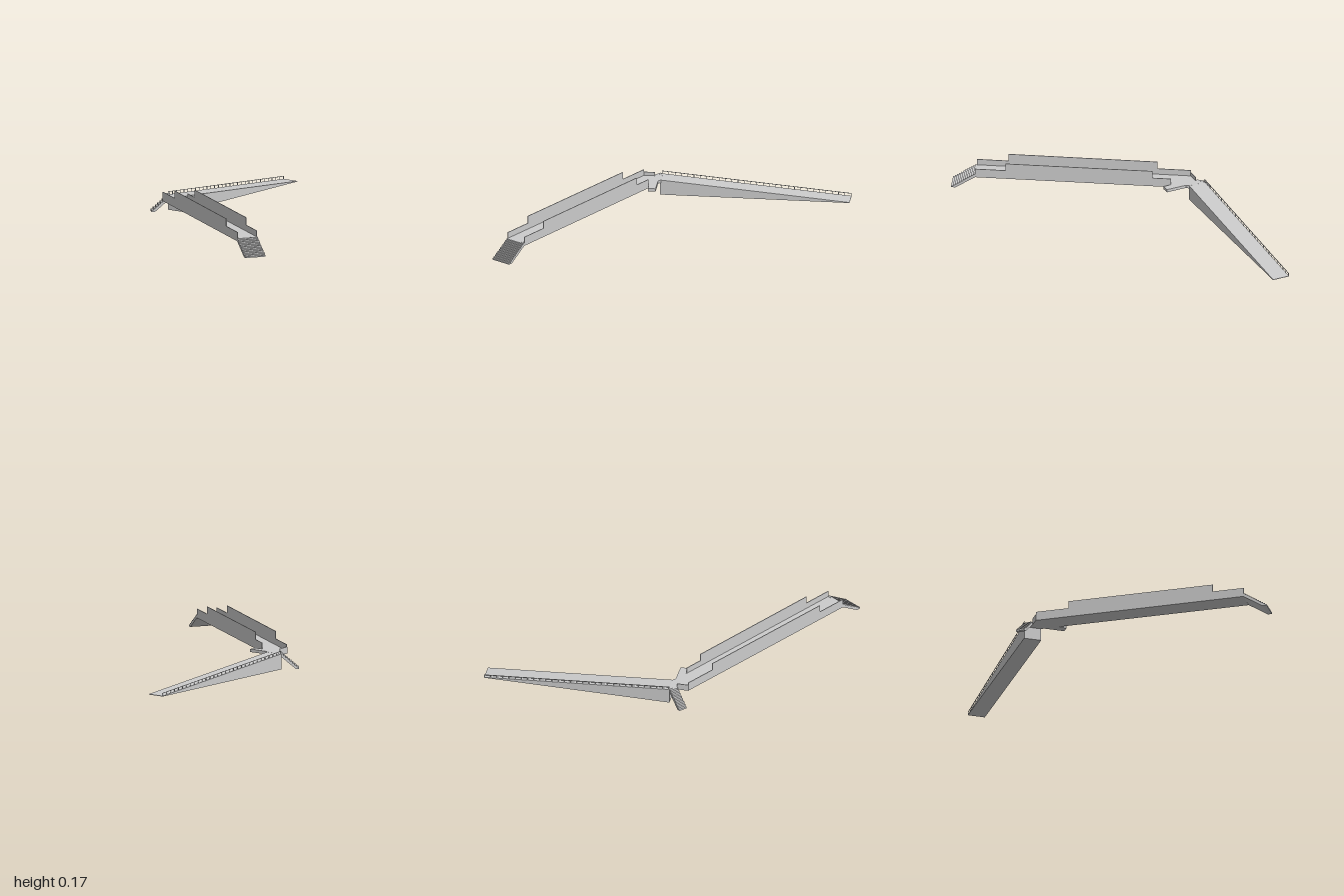
import * as THREE from 'three';

const DECK_Y = 0.075, DECK_TOP = 0.093;
const material = new THREE.MeshStandardMaterial({ color: 0xcccccc, flatShading: true });

function shapeOf(points) {
  return new THREE.Shape(points.map(([x, y]) => new THREE.Vector2(x, y)));
}

// Extrudes a side profile (along, up) by a width centred on the profile plane
function profileMesh(name, points, width) {
  const geo = new THREE.ExtrudeGeometry(shapeOf(points), { depth: width, bevelEnabled: false });
  geo.translate(0, 0, -width / 2);
  const mesh = new THREE.Mesh(geo, material);
  mesh.name = name;
  return mesh;
}

// Places an object at (x, z) so that its local x axis runs along (dx, dz)
function aim(object, x, z, dx, dz) {
  object.position.set(x, 0, z);
  object.rotation.y = Math.atan2(-dz, dx);
  return object;
}

function box(name, w, h, d, x, y, z) {
  const mesh = new THREE.Mesh(new THREE.BoxGeometry(w, h, d), material);
  mesh.name = name;
  mesh.position.set(x, y, z);
  return mesh;
}

// Thin stair flight descending along +x, with sawtooth steps on a sloping slab
function stairs(name, run, width, steps) {
  const pts = [[0, DECK_Y], [0, DECK_TOP]];
  for (let i = 0; i < steps; i++) {
    const y = DECK_TOP * (1 - i / steps);
    pts.push([run * (i + 1) / steps, y]);
    pts.push([run * (i + 1) / steps, DECK_TOP * (1 - (i + 1) / steps)]);
  }
  pts.push([run * 0.82, 0]);
  return profileMesh(name, pts, width);
}

// Parapet with a raised middle section between h0 and h1
function parapet(name, length, h0, h1) {
  return profileMesh(name, [
    [0, DECK_Y], [length, DECK_Y], [length, 0.13], [h1, 0.13],
    [h1, 0.175], [h0, 0.175], [h0, 0.13], [0, 0.13],
  ], 0.004);
}

export function createModel() {
  const model = new THREE.Group();
  model.name = 'footbridge';

  // Deck: bridge span, landing and side arm in one slab
  const outline = [
    [-0.615, 0.125], [-0.51, 0.125], [-0.495, 0.14], [-0.37, 0.14], [-0.37, 0.185],
    [-0.425, 0.187], [0.565, 0.812], [0.5, 0.92], [-0.575, 0.235], [-0.575, 0.168],
  ];
  const deckGeo = new THREE.ExtrudeGeometry(
    shapeOf(outline.map(([x, z]) => [x, -z])),
    { depth: DECK_TOP - DECK_Y, bevelEnabled: false });
  deckGeo.rotateX(-Math.PI / 2).translate(0, DECK_Y, 0);
  const deck = new THREE.Mesh(deckGeo, material);
  deck.name = 'deck';
  model.add(deck);

  // Parapets on both sides of the span
  model.add(aim(parapet('frontParapet', 1.275, 0.2, 1.085), -0.574, 0.234, 0.843, 0.537));
  model.add(aim(parapet('backParapet', 1.168, 0.112, 0.988), -0.422, 0.189, 0.845, 0.535));
  model.add(box('landingParapet', 0.004, 0.04, 0.068, -0.574, 0.095, 0.202));

  // Stair flights
  model.add(aim(stairs('mainStairs', 0.143, 0.127, 12), 0.5325, 0.866, 0.845, 0.535));
  model.add(aim(stairs('landingStairs', 0.108, 0.053, 8), -0.595, 0.148, -0.69, 0.72));

  // Long wedge-shaped ramp running to the back
  const rampLength = 1.13, rampEnd = 0.13;
  const rampY = (d) => DECK_TOP + (0.003 - DECK_TOP) * d / rampLength;
  const ramp = profileMesh('ramp',
    [[0, 0], [rampLength, 0], [rampLength, rampY(rampLength)], [0, DECK_TOP]], 0.105);
  model.add(aim(ramp, -0.5625, rampEnd, 0, -1));

  // Railing along the outer edge of the ramp
  const railing = new THREE.Group();
  railing.name = 'rampRailing';
  const posts = 31, railHeight = 0.018;
  for (let i = 0; i < posts; i++) {
    const d = 0.003 + (rampLength - 0.006) * i / (posts - 1);
    railing.add(box('railingPost', 0.003, railHeight, 0.003,
      -0.6135, rampY(d) + railHeight / 2, rampEnd - d));
  }
  const rail = profileMesh('handrail', [
    [0, rampY(0) + railHeight - 0.003], [rampLength, rampY(rampLength) + railHeight - 0.003],
    [rampLength, rampY(rampLength) + railHeight], [0, rampY(0) + railHeight],
  ], 0.003);
  railing.add(aim(rail, -0.6135, rampEnd, 0, -1));
  model.add(railing);

  return model;
}
